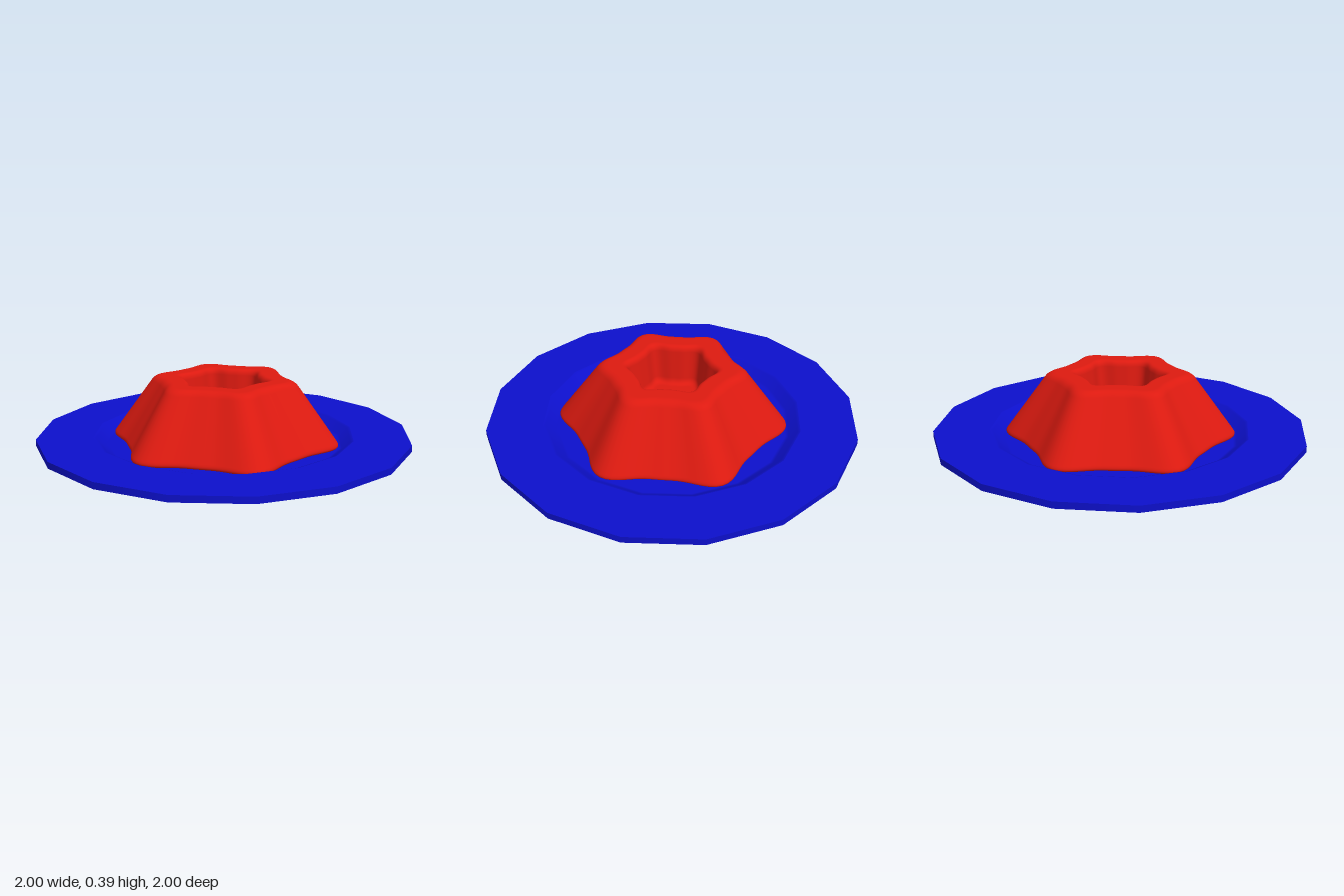
import * as THREE from 'three';
import { mergeVertices } from 'three/addons/utils/BufferGeometryUtils.js';

const blue = new THREE.MeshStandardMaterial({ color: 0x0d10cc });
const red = new THREE.MeshStandardMaterial({ color: 0xdd1a10 });

// One smooth band of the sixteen-sided plate; bands meet at sharp edges
function plateBand(name, profile) {
  const points = profile.map(([r, y]) => new THREE.Vector2(r, y));
  const mesh = new THREE.Mesh(new THREE.LatheGeometry(points, 16), blue);
  mesh.name = name;
  return mesh;
}

function createPlate() {
  const plate = new THREE.Group();
  plate.name = 'plate';
  plate.add(
    plateBand('base', [[0, 0], [0.69, 0]]),
    plateBand('baseWall', [[0.69, 0], [0.69, 0.05]]),
    plateBand('rimUnderside', [[0.69, 0.05], [1, 0.05]]),
    plateBand('rimEdge', [[1, 0.05], [1, 0.085]]),
    plateBand('rimTop', [[1, 0.085], [0.7, 0.085]]),
    plateBand('well', [[0.7, 0.085], [0.685, 0.08], [0.64, 0.042], [0.62, 0.036], [0, 0.036]]),
  );
  return plate;
}

// Radius factor of the six-lobed outline, 1 at the tip of each lobe
const lobe = (a) => 0.907 + 0.077 * Math.cos(6 * a) + 0.016 * Math.cos(12 * a);

function createCake() {
  // Profile through a lobe: underside, sloped wall, rounded top, hollow
  const profile = new THREE.Path();
  profile.moveTo(0, 0.037);
  profile.lineTo(0.58, 0.037);
  profile.quadraticCurveTo(0.637, 0.037, 0.612, 0.071);
  profile.lineTo(0.402, 0.358);
  profile.quadraticCurveTo(0.38, 0.388, 0.34, 0.388);
  profile.lineTo(0.27, 0.388);
  profile.quadraticCurveTo(0.238, 0.388, 0.232, 0.355);
  profile.lineTo(0.212, 0.2);
  profile.quadraticCurveTo(0.207, 0.165, 0.17, 0.165);
  profile.lineTo(0, 0.165);

  const geometry = new THREE.LatheGeometry(profile.getPoints(8), 120);
  const pos = geometry.attributes.position;
  for (let i = 0; i < pos.count; i++) {
    const x = pos.getX(i), z = pos.getZ(i);
    const f = lobe(Math.atan2(z, x));
    pos.setX(i, x * f);
    pos.setZ(i, z * f);
  }
  geometry.deleteAttribute('uv');
  geometry.deleteAttribute('normal');
  const smooth = mergeVertices(geometry, 1e-5);
  smooth.computeVertexNormals();
  const mesh = new THREE.Mesh(smooth, red);
  mesh.name = 'lobedCake';
  return mesh;
}

export function createModel() {
  const model = new THREE.Group();
  model.name = 'cakeOnPlate';
  model.add(createPlate(), createCake());
  return model;
}
